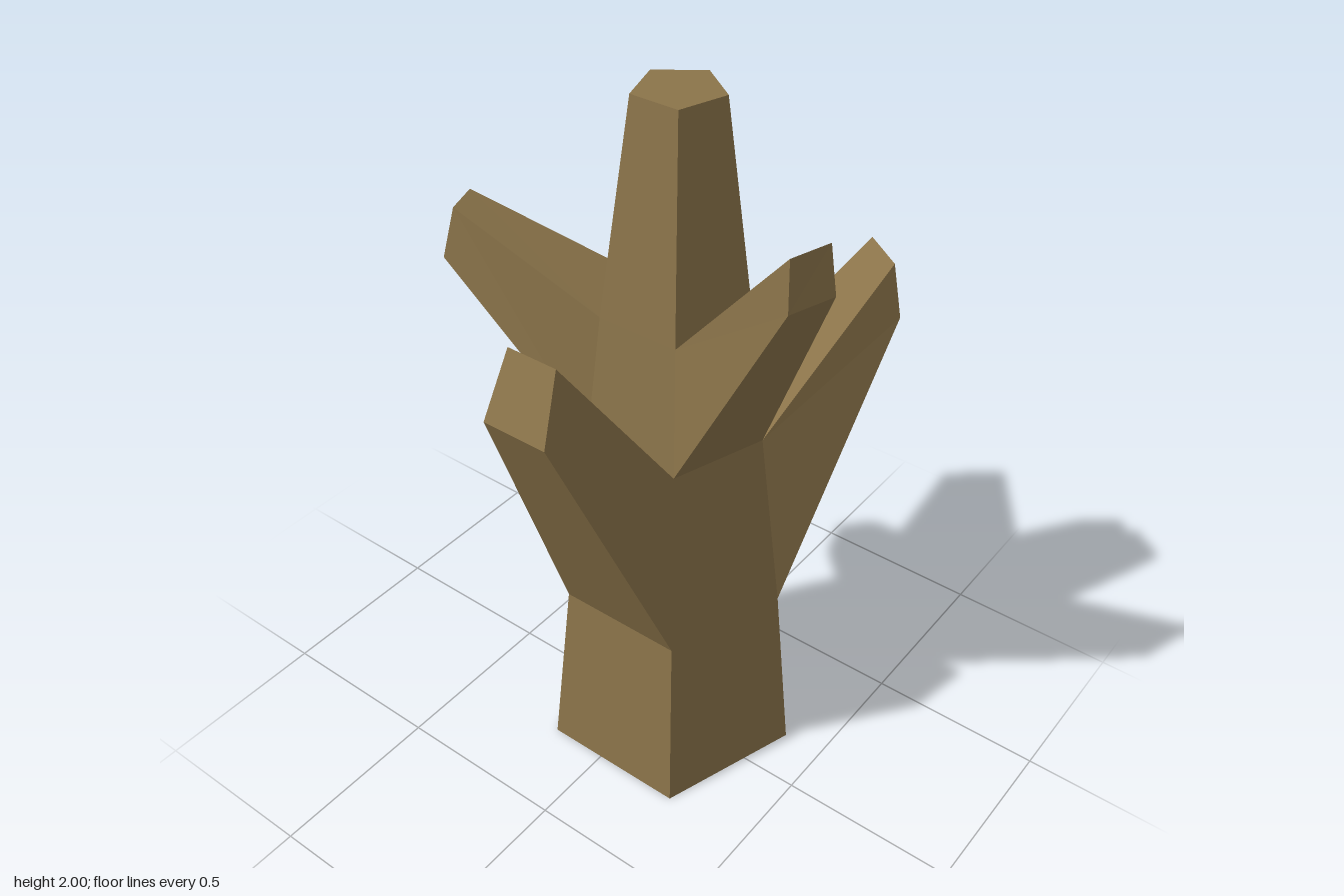
import * as THREE from 'three';

// Five-sided trunk rings: height and radius
const RINGS = [[0, 0.357], [0.54, 0.303], [1.073, 0.235], [1.43, 0.195], [2, 0.115]];
const CX = 0.043, CZ = -0.037;

// Corner k of a ring; face k spans corners k and k + 1 (face 4 looks to +z)
function corner(ring, k) {
  const [y, r] = RINGS[ring];
  const a = THREE.MathUtils.degToRad(36 + 72 * (k % 5));
  return [CX + r * Math.sin(a), y, CZ + r * Math.cos(a)];
}

// Tip corners, seen from outside: lower left, lower right, upper right, upper left
const BRANCHES = [
  { name: 'frontBranch', face: 4, ring: 1,
    tip: [[-0.045, 1.39, 0.565], [0.135, 1.39, 0.565], [0.113, 1.56, 0.49], [-0.027, 1.56, 0.49]] },
  { name: 'leftBranch', face: 0, ring: 2,
    tip: [[0.493, 1.685, 0.173], [0.533, 1.685, 0.047], [0.515, 1.815, 0.053], [0.482, 1.815, 0.162]] },
  { name: 'backLeftBranch', face: 1, ring: 1,
    tip: [[0.43, 1.325, -0.47], [0.29, 1.325, -0.565], [0.295, 1.485, -0.53], [0.408, 1.485, -0.45]] },
  { name: 'backRightBranch', face: 2, ring: 2,
    tip: [[-0.245, 1.425, -0.52], [-0.36, 1.425, -0.435], [-0.333, 1.56, -0.415], [-0.245, 1.56, -0.483]] },
  { name: 'rightBranch', face: 3, ring: 2,
    tip: [[-0.535, 1.49, 0.085], [-0.493, 1.49, 0.217], [-0.472, 1.625, 0.19], [-0.505, 1.625, 0.095]] },
];

// Flat-shaded mesh from convex polygons
function facetMesh(name, polygons, material) {
  const pos = [];
  for (const p of polygons) {
    for (let i = 1; i < p.length - 1; i++) pos.push(...p[0], ...p[i], ...p[i + 1]);
  }
  const geo = new THREE.BufferGeometry();
  geo.setAttribute('position', new THREE.Float32BufferAttribute(pos, 3));
  geo.computeVertexNormals();
  const mesh = new THREE.Mesh(geo, material);
  mesh.name = name;
  return mesh;
}

// The trunk quad at a given ring and face
const wall = (ring, k) =>
  [corner(ring, k), corner(ring, k + 1), corner(ring + 1, k + 1), corner(ring + 1, k)];

export function createModel() {
  const group = new THREE.Group();
  group.name = 'deadTree';
  const bark = new THREE.MeshStandardMaterial({ color: 0x8b744a, side: THREE.DoubleSide });
  bark.name = 'bark brown';

  // Trunk: hollow, open at the foot and where branches leave, closed at the top
  const trunk = [];
  for (let ring = 0; ring < RINGS.length - 1; ring++) {
    for (let k = 0; k < 5; k++) {
      if (!BRANCHES.some((b) => b.ring === ring && b.face === k)) trunk.push(wall(ring, k));
    }
  }
  trunk.push([0, 1, 2, 3, 4].map((k) => corner(4, k)));
  group.add(facetMesh('trunk', trunk, bark));

  // Branches: each grows from one trunk quad to a smaller blunt tip
  for (const { name, face, ring, tip } of BRANCHES) {
    const base = wall(ring, face);
    const sides = base.map((p, i) => {
      const j = (i + 1) % 4;
      return [p, base[j], tip[j], tip[i]];
    });
    group.add(facetMesh(name, [...sides, tip], bark));
  }
  return group;
}
